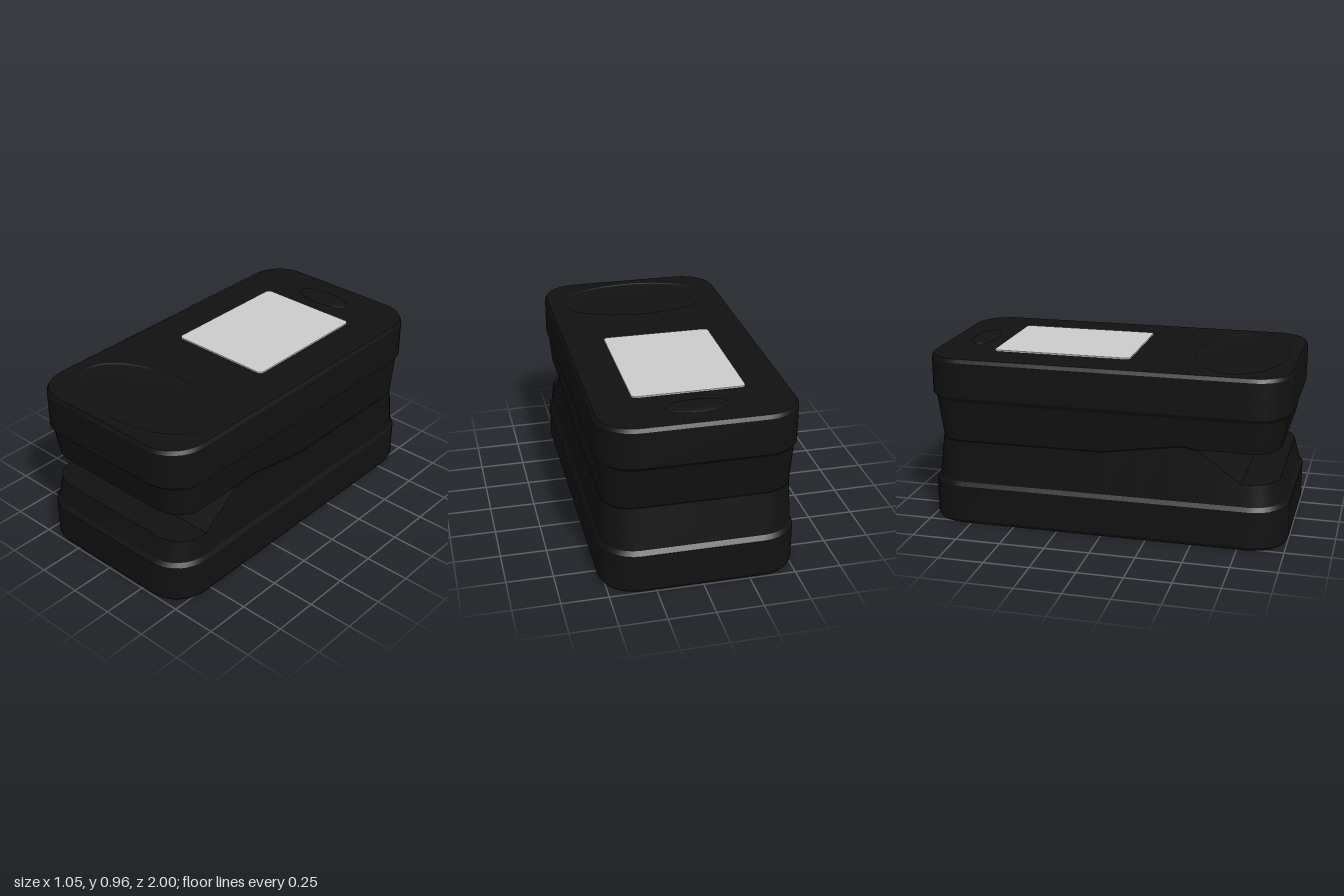
import * as THREE from 'three';
import { toCreasedNormals } from 'three/addons/utils/BufferGeometryUtils.js';

const W = 0.527, L = 1.0, R = 0.2, TOP = 0.945;
// z positions along the straight sides where the parting line bends
const BREAKS = [0.76, 0.65, 0.53, 0.45, 0.38, 0.2, 0, -0.4];

// Parting line height along z, as [z, y] from front to back
const REAR_SEAM = [[0.45, 0.545], [0.38, 0.539], [0, 0.48], [-1, 0.476]];
const UPPER_SEAM = [[1, 0.533], [0.53, 0.534], ...REAR_SEAM];
const LOWER_SEAM = [[1, 0.365], [0.76, 0.365], [0.53, 0.532], ...REAR_SEAM];

function heightAt(line, z) {
  for (let i = 0; i < line.length - 1; i++) {
    const [z0, y0] = line[i], [z1, y1] = line[i + 1];
    if (z >= z1) return y0 + (y1 - y0) * (z0 - z) / (z0 - z1);
  }
  return line[line.length - 1][1];
}

// Rounded-rectangle outline, inset by ix and iz: +x side front to back, then -x side back to front
function outline(ix, iz) {
  const half = [], n = 8;
  const corner = (a, sign) => half.push([
    W - R + (R - ix) * Math.cos(a), sign * (L - R + (R - iz) * Math.sin(a))]);
  for (let i = n; i >= 0; i--) corner(i / n * Math.PI / 2, 1);
  BREAKS.forEach((z) => half.push([W - ix, z]));
  for (let i = 0; i <= n; i++) corner(i / n * Math.PI / 2, -1);
  return [...half, ...half.slice().reverse().map(([x, z]) => [-x, z])];
}

// Loft through levels [height function, ix, iz] from bottom to top
function shell(levels, capBottom, capTop) {
  const pos = [], index = [];
  let n = 0;
  for (const [y, ix, iz] of levels) {
    const ring = outline(ix, iz);
    n = ring.length;
    ring.forEach(([x, z]) => pos.push(x, y(z), z));
  }
  const quad = (a, b, c, d) => index.push(a, b, c, a, c, d);
  for (let j = 0; j < levels.length - 1; j++) {
    for (let i = 0; i < n; i++) {
      const k = (i + 1) % n;
      quad(j * n + i, j * n + k, (j + 1) * n + k, (j + 1) * n + i);
    }
  }
  // Caps are strips running across x
  const last = (levels.length - 1) * n;
  for (let i = 0; i < n / 2 - 1; i++) {
    const l = n - 1 - i;
    if (capTop) quad(last + i, last + i + 1, last + l - 1, last + l);
    if (capBottom) quad(l, l - 1, i + 1, i);
  }
  const geo = new THREE.BufferGeometry();
  geo.setAttribute('position', new THREE.Float32BufferAttribute(pos, 3));
  geo.setIndex(index);
  return toCreasedNormals(geo, 0.35);
}

// Elliptical disc turned from a radius-1 profile
function ellipse(profile, rx, rz, z) {
  const geo = new THREE.LatheGeometry(profile.map(([r, y]) => new THREE.Vector2(r, y)), 64);
  return geo.scale(rx, 1, rz).translate(0, TOP, z);
}

export function createModel() {
  const group = new THREE.Group();
  const black = new THREE.MeshStandardMaterial({ color: 0x111111 });
  const grey = new THREE.MeshStandardMaterial({ color: 0xcccccc });
  const add = (name, geo, mat) => {
    const mesh = new THREE.Mesh(geo, mat);
    mesh.name = name;
    group.add(mesh);
  };
  const flat = (y) => () => y;

  // Lower clamp half
  add('lowerHousing', shell([
    [flat(0), 0.012, 0.012],
    [flat(0.02), 0, 0],
    [flat(0.22), 0, 0],
    [flat(0.243), 0.013, 0.02],
    [(z) => heightAt(LOWER_SEAM, z) - 0.002, 0.027, 0.052],
  ], true, true), black);

  // Upper clamp half
  add('upperHousing', shell([
    [(z) => heightAt(UPPER_SEAM, z) + 0.002, 0.027, 0.052],
    [flat(0.704), 0.013, 0.02],
    [flat(0.727), 0, 0],
    [flat(0.925), 0, 0],
    [flat(TOP), 0.012, 0.012],
  ], true, false), black);

  // Top face with an opening for the shallow finger rest
  const face = new THREE.Shape(outline(0.012, 0.012).map(([x, z]) => new THREE.Vector2(x, -z)));
  face.holes.push(new THREE.Path().absellipse(0, -0.68, 0.44, 0.25, 0, Math.PI * 2, true));
  add('topFace', new THREE.ShapeGeometry(face, 32).rotateX(-Math.PI / 2).translate(0, TOP, 0), black);
  add('fingerRest', ellipse(
    [[1, 0], [0.97, -0.006], [0.75, -0.012], [0.4, -0.017], [0, -0.018]], 0.44, 0.25, 0.68), black);

  // Power button
  add('powerButton', ellipse(
    [[1, 0], [0.97, 0.005], [0.6, 0.01], [0, 0.011]], 0.165, 0.07, -0.81), black);

  // Display panel
  const w = 0.3, z0 = -0.66, z1 = 0.11, r = 0.025;
  const panel = new THREE.Shape();
  panel.absarc(w - r, -z0 - r, r, 0, Math.PI / 2);
  panel.absarc(-w + r, -z0 - r, r, Math.PI / 2, Math.PI);
  panel.absarc(-w + r, -z1 + r, r, Math.PI, Math.PI * 1.5);
  panel.absarc(w - r, -z1 + r, r, Math.PI * 1.5, Math.PI * 2);
  add('displayScreen', new THREE.ExtrudeGeometry(panel, { depth: 0.008, bevelEnabled: false, curveSegments: 6 })
    .rotateX(-Math.PI / 2).translate(0, TOP, 0), grey);

  return group;
}
